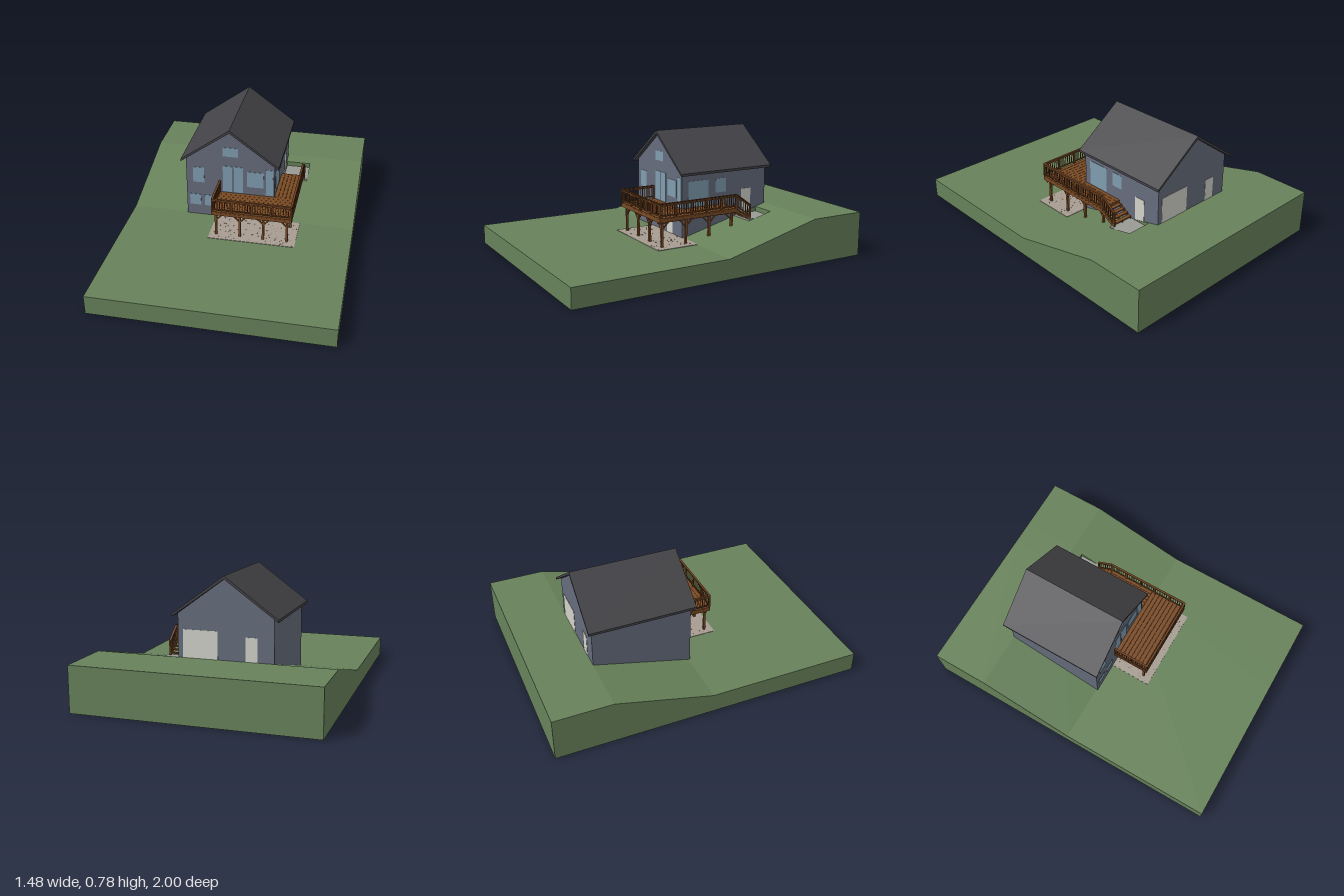
import * as THREE from 'three';
import { mergeGeometries } from 'three/addons/utils/BufferGeometryUtils.js';

const mat = (color) => new THREE.MeshStandardMaterial({ color });
const GRASS = mat(0x67825a), WALL = mat(0x666c7c), ROOF = mat(0x434347), WOOD = mat(0x7a4a24);
const RAIL = mat(0x6b3f1e), GLASS = mat(0x7f9db0), DOOR = mat(0xd2d2ca), STONE = mat(0xa79d92);
const PEBBLE = mat(0x857a70), CONCRETE = mat(0x9a9a95);

// Box between two opposite corners
function box(x0, x1, y0, y1, z0, z1) {
  return new THREE.BoxGeometry(x1 - x0, y1 - y0, z1 - z0)
    .translate((x0 + x1) / 2, (y0 + y1) / 2, (z0 + z1) / 2);
}

// Rectangular bar running from point a to point b
function bar(a, b, w, h = w) {
  const p = new THREE.Vector3(...a), q = new THREE.Vector3(...b);
  const o = new THREE.Object3D();
  o.position.copy(p).add(q).multiplyScalar(0.5);
  o.lookAt(q);
  o.updateMatrix();
  return new THREE.BoxGeometry(w, h, p.distanceTo(q)).applyMatrix4(o.matrix);
}

function extrude(points, depth) {
  const shape = new THREE.Shape(points.map(([x, y]) => new THREE.Vector2(x, y)));
  return new THREE.ExtrudeGeometry(shape, { depth, bevelEnabled: false });
}

const ground = (z) => 0.125 + 0.16 * THREE.MathUtils.clamp(-z / 0.63, 0, 1);

export function createModel() {
  const model = new THREE.Group();
  model.name = 'hillsideHouse';
  const add = (name, geos, material, parent = model) => {
    const m = new THREE.Mesh(Array.isArray(geos) ? mergeGeometries(geos) : geos, material);
    m.name = name;
    parent.add(m);
  };

  // Sloping ground in three strips; the middle one is cut for the landing
  const strip = (x0, x1, cut) => extrude([
    [1, 0], [1, 0.125], [0, 0.125],
    ...(cut ? [[-0.39, ground(-0.39)], [-0.56, ground(-0.39)], [-0.56, ground(-0.56)]] : []),
    [-0.63, 0.285], [-1, 0.285], [-1, 0],
  ], x1 - x0).rotateY(-Math.PI / 2).translate(x1, 0, 0);
  add('ground', [strip(-0.74, 0.22), strip(0.22, 0.38, true), strip(0.38, 0.74)], GRASS);
  add('landingSlab', box(0.22, 0.38, 0.2, 0.236, -0.56, -0.39), CONCRETE);

  // Patio with scattered pebbles
  add('patio', box(-0.17, 0.39, 0.115, 0.128, 0, 0.28), STONE);
  let seed = 7;
  const rnd = () => (seed = (seed * 16807) % 2147483647) / 2147483647;
  const pebbles = [];
  for (let i = 0; i < 150; i++) {
    const r = 0.002 + 0.003 * rnd();
    pebbles.push(new THREE.CylinderGeometry(r, r, 0.001, 6)
      .translate(-0.16 + 0.54 * rnd(), 0.1283, 0.02 + 0.25 * rnd()));
  }
  add('patioPebbles', pebbles, PEBBLE);

  // House walls and roof
  const house = new THREE.Group();
  house.name = 'house';
  model.add(house);
  const ridge = -0.077;
  add('walls', extrude([[-0.37, 0.1], [0.216, 0.1], [0.216, 0.549], [ridge, 0.763], [-0.37, 0.549]], 0.64)
    .translate(0, 0, -0.63), WALL, house);
  add('roof', extrude([[-0.4, 0.53], [ridge, 0.763], [0.246, 0.53], [0.246, 0.546],
    [ridge, 0.782], [-0.4, 0.546]], 0.69).translate(0, 0, -0.655), ROOF, house);

  // Front openings: x0, x1, y0, y1
  const T = 0.002, front = 0.01, back = -0.63, side = 0.216;
  add('frontWindows', [
    [-0.325, -0.25, 0.373, 0.485], [0.035, 0.145, 0.373, 0.485],
    [-0.35, -0.275, 0.198, 0.278], [-0.25, -0.175, 0.198, 0.278], [-0.125, -0.05, 0.198, 0.278],
    [-0.125, -0.025, 0.583, 0.647],
    [-0.125, -0.065, 0.322, 0.512], [-0.052, 0.01, 0.322, 0.512], [0.16, 0.207, 0.322, 0.512],
  ].map(([a, b, c, d]) => box(a, b, c, d, front - T, front + T)), GLASS, house);
  add('basementDoor', box(0.03, 0.097, 0.128, 0.285, front - T, front + T), DOOR, house);

  // Side and back openings
  add('sideWindows', [
    box(side - T, side + T, 0.322, 0.487, -0.185, -0.035),
    box(side - T, side + T, 0.395, 0.487, -0.32, -0.24),
  ], GLASS, house);
  add('sideDoor', box(side - T, side + T, 0.236, 0.4, -0.515, -0.44), DOOR, house);
  add('garageDoor', box(-0.03, 0.185, 0.285, 0.455, back - T, back + T), DOOR, house);
  add('backDoor', box(-0.27, -0.2, 0.285, 0.43, back - T, back + T), DOOR, house);

  // L-shaped deck: boards, rim and joists
  const deck = new THREE.Group();
  deck.name = 'deck';
  model.add(deck);
  const L = -0.148, R = 0.366, F = 0.255, E = -0.305, top = 0.316;
  const boards = [];
  for (let i = 0; i < 9; i++) {
    const z = 0.011 + i * 0.0272;
    boards.push(box(L, R, top - 0.008, top, z, z + 0.0255));
  }
  for (let i = 0; i < 6; i++) {
    const x = 0.218 + i * 0.0248;
    boards.push(box(x, x + 0.0232, top - 0.008, top, E, 0.0095));
  }
  add('deckBoards', boards, WOOD, deck);

  const frame = [
    box(L, R, 0.288, 0.308, F - 0.01, F), box(L, L + 0.01, 0.288, 0.308, 0.011, F),
    box(R - 0.01, R, 0.288, 0.308, E, F), box(0.218, R, 0.288, 0.308, E, E + 0.01),
    box(L, R, 0.288, 0.308, 0.011, 0.019), box(0.218, 0.226, 0.288, 0.308, E, 0.011),
    box(L, R, 0.28, 0.296, 0.218, 0.232), box(0.328, 0.342, 0.28, 0.296, E, F),
  ];
  for (let x = L + 0.06; x < R - 0.03; x += 0.06) frame.push(box(x, x + 0.006, 0.29, 0.308, 0.015, F));
  for (let z = E + 0.06; z < 0; z += 0.06) frame.push(box(0.22, R, 0.29, 0.308, z, z + 0.006));
  add('deckFrame', frame, WOOD, deck);

  // Support posts with knee braces
  const posts = [], braces = [];
  const post = (x, z) => posts.push(box(x - 0.007, x + 0.007, ground(z) - 0.01, 0.285, z - 0.007, z + 0.007));
  const brace = (x, z, dx, dz) => braces.push(bar([x, 0.236, z], [x + dx, 0.286, z + dz], 0.008));
  const postX = [-0.125, 0.03, 0.182, 0.335], postZ = [0.225, 0.055, -0.115, -0.285];
  postX.forEach((x, i) => {
    post(x, 0.225);
    if (i > 0) brace(x, 0.225, -0.05, 0);
    if (i < 3) brace(x, 0.225, 0.05, 0);
  });
  postZ.forEach((z, i) => {
    if (i > 0) post(0.335, z);
    if (i > 0) brace(0.335, z, 0, 0.05);
    if (i < 3) brace(0.335, z, 0, -0.05);
  });
  add('supportPosts', posts, WOOD, deck);
  add('kneeBraces', braces, WOOD, deck);

  // Railing run between two floor points (level or sloping)
  function railing(name, a, b, bays) {
    const up = (p, h) => [p[0], p[1] + h, p[2]];
    const at = (t) => a.map((v, i) => v + (b[i] - v) * t);
    const len = Math.hypot(b[0] - a[0], b[2] - a[2]);
    const parts = [bar(up(a, 0.087), up(b, 0.087), 0.014, 0.006), bar(up(a, 0.077), up(b, 0.077), 0.005, 0.008),
      bar(up(a, 0.014), up(b, 0.014), 0.006, 0.008)];
    for (let i = 0; i <= bays; i++) {
      const [x, y, z] = at(i / bays);
      parts.push(box(x - 0.005, x + 0.005, y - 0.02, y + 0.086, z - 0.005, z + 0.005));
    }
    const n = Math.round(len / 0.0165);
    for (let i = 1; i < n; i++) {
      const [x, y, z] = at(i / n);
      parts.push(box(x - 0.002, x + 0.002, y + 0.012, y + 0.08, z - 0.002, z + 0.002));
    }
    add(name, parts, RAIL, deck);
  }
  const rl = L + 0.005, rr = R - 0.005, rf = F - 0.005;
  railing('frontRailing', [rl, top, rf], [rr, top, rf], 4);
  railing('endRailing', [rl, top, 0.017], [rl, top, rf], 2);
  railing('sideRailing', [rr, top, rf], [rr, top, E + 0.005], 5);
  railing('stairRailing', [rr, top, E], [rr, 0.24, -0.41], 1);

  // Open stairs down to the landing
  const steps = [];
  for (let i = 0; i < 4; i++) {
    const y = top - 0.016 * (i + 1), z = E - 0.027 * i;
    steps.push(box(0.222, R, y - 0.007, y, z - 0.026, z));
  }
  for (const x of [0.226, 0.294, R - 0.004]) steps.push(bar([x, 0.296, E], [x, 0.233, -0.41], 0.007, 0.018));
  add('stairs', steps, WOOD, deck);

  return model;
}
